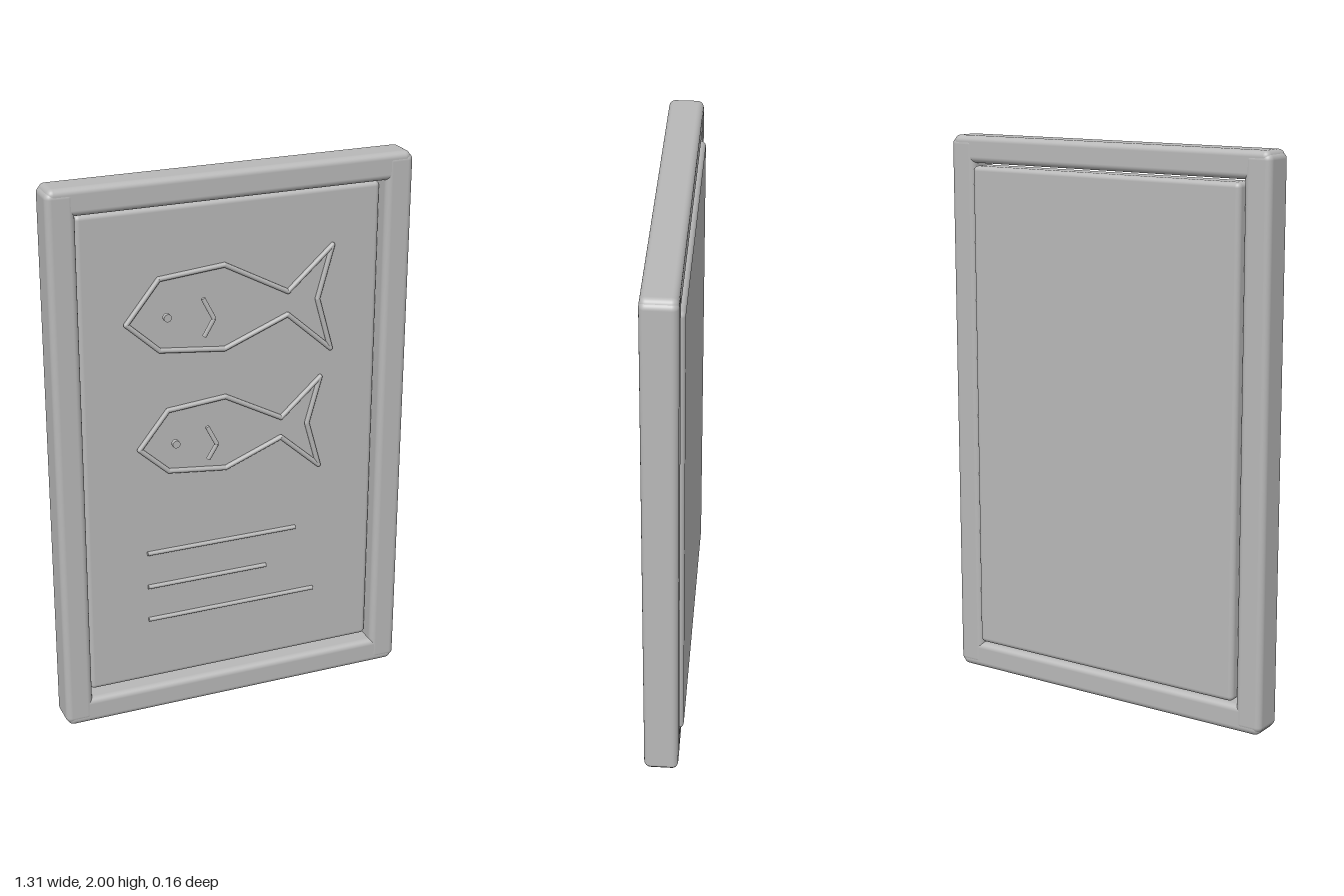
import * as THREE from 'three';
import { RoundedBoxGeometry } from 'three/addons/geometries/RoundedBoxGeometry.js';

export function createModel() {
  const model = new THREE.Group();
  model.name = 'framedFishPanel';
  const grey = new THREE.MeshStandardMaterial({ color: 0xb8b8b8 });
  grey.name = 'plain grey';

  const add = (parent, name, geometry, x, y, z) => {
    const mesh = new THREE.Mesh(geometry, grey);
    mesh.name = name;
    mesh.position.set(x, y, z);
    parent.add(mesh);
    return mesh;
  };

  // Round bar between two points
  const up = new THREE.Vector3(0, 1, 0);
  const bar = (parent, name, a, b, radius) => {
    const from = new THREE.Vector3(...a), to = new THREE.Vector3(...b);
    const dir = to.clone().sub(from);
    const mid = from.clone().add(to).multiplyScalar(0.5);
    const mesh = add(parent, name, new THREE.CylinderGeometry(radius, radius, dir.length(), 10), mid.x, mid.y, mid.z);
    mesh.quaternion.setFromUnitVectors(up, dir.normalize());
  };

  // Frame of four soft-edged rails
  const frame = new THREE.Group();
  frame.name = 'frame';
  model.add(frame);
  for (const s of [-1, 1]) {
    add(frame, s < 0 ? 'rightRail' : 'leftRail', new RoundedBoxGeometry(0.1, 1.98, 0.122, 4, 0.022), s * 0.605, 1, -0.006);
    add(frame, s < 0 ? 'bottomRail' : 'topRail', new RoundedBoxGeometry(1.295, 0.097, 0.12, 4, 0.022), 0, 1 + s * 0.9515, -0.006);
  }

  // Panel, recessed at the front and proud at the back
  add(model, 'panel', new RoundedBoxGeometry(1.1, 1.785, 0.095, 4, 0.018), 0, 1.0025, -0.0325);

  // Fish outline, eye and gill, relative to the fish centre
  const outline = [
    [-0.385, 0], [-0.267, 0.147], [-0.03, 0.168], [0.205, 0.042], [0.37, 0.19],
    [0.317, 0], [0.37, -0.19], [0.205, -0.042], [-0.03, -0.135], [-0.267, -0.108],
  ];
  const addFish = (name, y, k) => {
    const fish = new THREE.Group();
    fish.name = name;
    model.add(fish);
    const at = ([px, py], z) => [px * k, y + py * k, z];
    outline.forEach((p, i) => {
      const next = outline[(i + 1) % outline.length];
      bar(fish, 'outlineBar', at(p, 0.022), at(next, 0.022), 0.009);
      add(fish, 'outlineJoint', new THREE.SphereGeometry(0.009, 10, 8), ...at(p, 0.022));
    });
    const eye = add(fish, 'eye', new THREE.CylinderGeometry(0.014, 0.014, 0.016, 16), ...at([-0.25, 0.02], 0.055));
    eye.rotation.x = Math.PI / 2;
    bar(fish, 'gillTop', at([-0.124, 0.074], 0.062), at([-0.088, 0], 0.071), 0.008);
    bar(fish, 'gillBottom', at([-0.088, 0], 0.071), at([-0.12, -0.063], 0.062), 0.008);
  };
  addFish('upperFish', 1.5, 1);
  addFish('lowerFish', 1.035, 0.9);

  // Three raised lines under the fish
  [[0.627, 0.245], [0.493, 0.13], [0.36, 0.32]].forEach(([y, end]) =>
    bar(model, 'raisedLine', [-0.325, y, 0.022], [end, y, 0.022], 0.008));

  return model;
}
